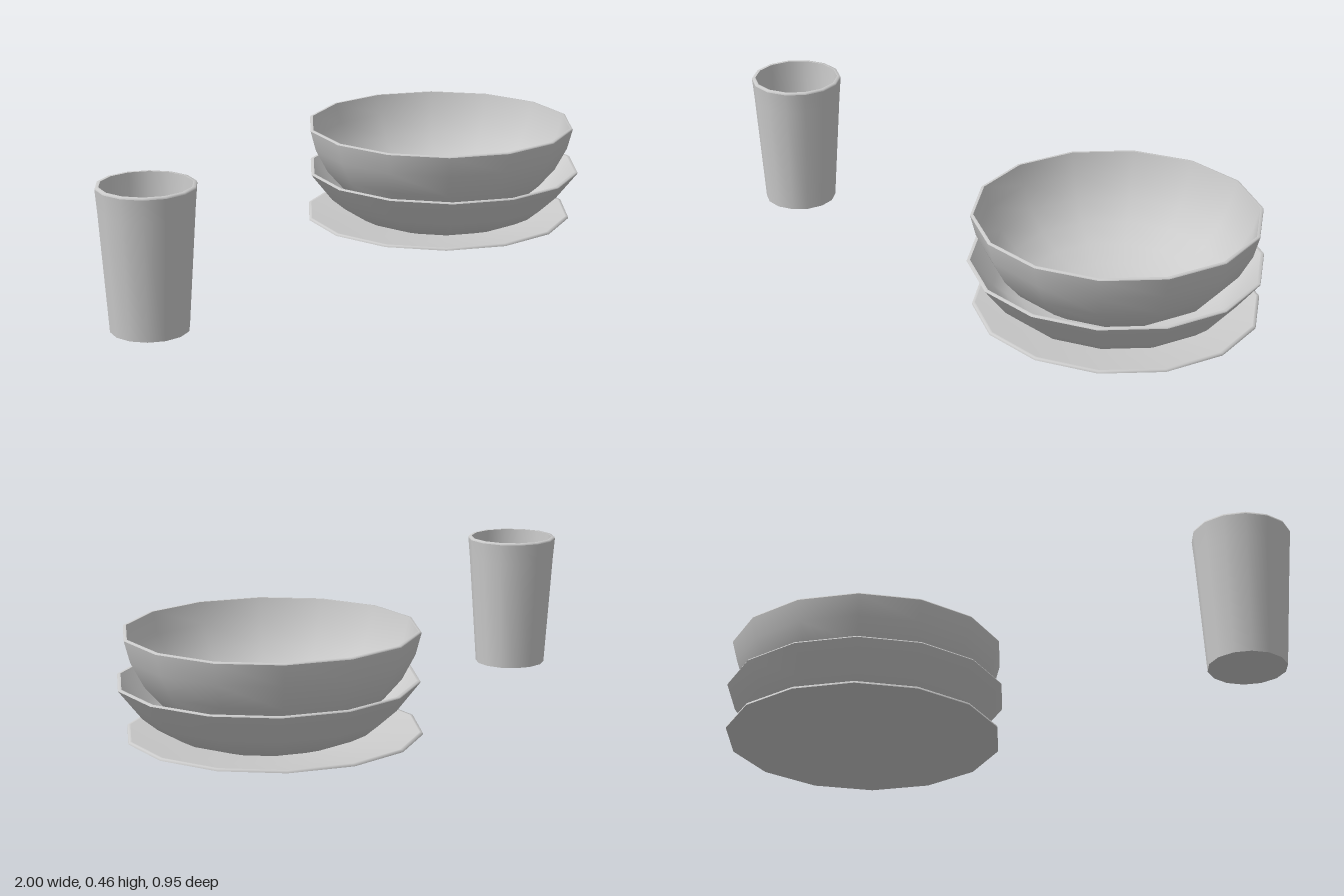
import * as THREE from 'three';
import { mergeGeometries } from 'three/addons/utils/BufferGeometryUtils.js';

const SIDES = 14;
const material = new THREE.MeshStandardMaterial({ color: 0xcccccc });

// Closed vessel: each run of [radius, y] is smooth, with a sharp edge where one run meets the next.
// Runs go from the underside centre, over the rim, to the inside centre.
function vessel(name, x, z, ...runs) {
  const lathes = runs.map((run) =>
    new THREE.LatheGeometry(run.map(([r, y]) => new THREE.Vector2(r, y)), SIDES));
  const mesh = new THREE.Mesh(mergeGeometries(lathes), material);
  mesh.name = name;
  mesh.position.set(x, 0, z);
  return mesh;
}

export function createModel() {
  const group = new THREE.Group();
  group.name = 'tableware';

  // Shallow plate at the bottom of the stack
  group.add(vessel('plate', 0.537, -0.014,
    [[0, 0.003], [0.115, 0.003], [0.15, 0.007], [0.32, 0.03], [0.435, 0.05], [0.459, 0.056]],
    [[0.459, 0.056], [0.457, 0.063], [0.449, 0.063]],
    [[0.449, 0.063], [0.32, 0.04], [0.15, 0.017], [0.115, 0.013], [0, 0.013]],
  ));

  // Wide bowl in the middle
  group.add(vessel('wideBowl', 0.542, 0.004,
    [[0, 0.018], [0.12, 0.021], [0.22, 0.036], [0.3, 0.063], [0.35, 0.089], [0.396, 0.127], [0.469, 0.22]],
    [[0.469, 0.22], [0.467, 0.224], [0.458, 0.224]],
    [[0.458, 0.224], [0.387, 0.134], [0.343, 0.098], [0.295, 0.073], [0.217, 0.046], [0.12, 0.031], [0, 0.028]],
  ));

  // Deep bowl on top
  group.add(vessel('deepBowl', 0.536, -0.006,
    [[0, 0.058], [0.1, 0.066], [0.19, 0.085], [0.275, 0.117], [0.345, 0.164], [0.4, 0.227], [0.441, 0.305], [0.459, 0.373]],
    [[0.459, 0.373], [0.457, 0.377], [0.449, 0.377]],
    [[0.449, 0.377], [0.431, 0.308], [0.391, 0.233], [0.338, 0.172], [0.27, 0.126], [0.187, 0.095], [0.099, 0.076], [0, 0.068]],
  ));

  // Tapered drinking cup standing apart, slightly flared at the lip
  group.add(vessel('cup', -0.85, -0.108,
    [[0, 0], [0.122, 0]],
    [[0.122, 0], [0.148, 0.38], [0.154, 0.449]],
    [[0.154, 0.449], [0.152, 0.455], [0.142, 0.455]],
    [[0.142, 0.455], [0.138, 0.38], [0.114, 0.02]],
    [[0.114, 0.02], [0, 0.02]],
  ));

  return group;
}
